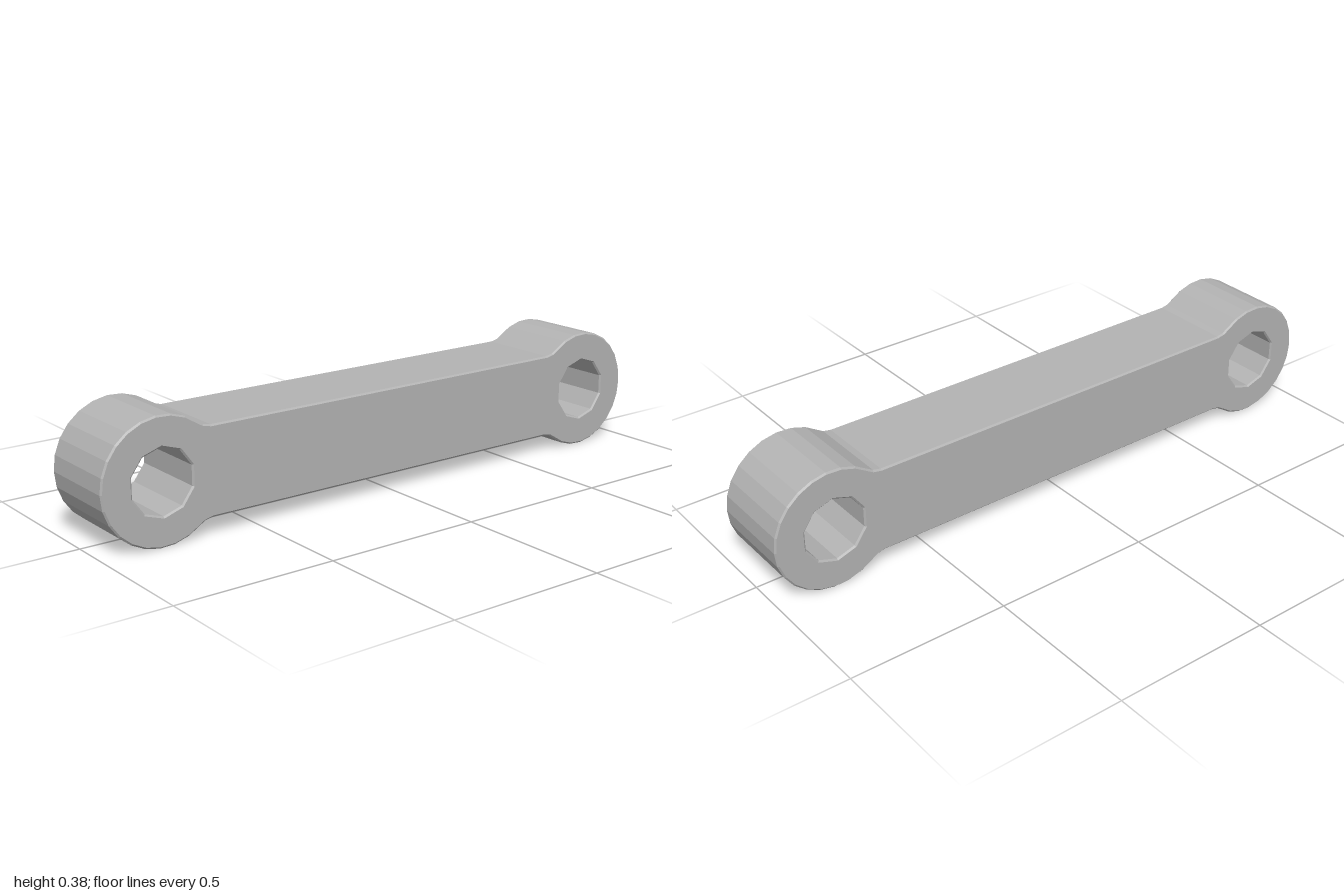
import * as THREE from 'three';

const EYE_X = 0.808;      // distance of each eye from the middle
const EYE_Y = 0.193;
const EYE_R = 0.192;
const HOLE_R = 0.1;
const BAR_HALF = 0.136;   // half height of the bar
const DEPTH = 0.276;
const BEVEL = 0.005;

// Points along one half of the outline, around the eye on side s (+1 or -1)
function eyeOutline(s) {
  const pts = [];
  const end = Math.PI - 0.9;
  const steps = 18;
  pts.push(new THREE.Vector2(s * 0.648, -s * BAR_HALF));
  pts.push(new THREE.Vector2(s * 0.673, -s * (BAR_HALF + 0.005)));
  for (let i = 0; i <= steps; i++) {
    const a = -end + (2 * end * i) / steps;
    pts.push(new THREE.Vector2(s * (EYE_X + EYE_R * Math.cos(a)), s * EYE_R * Math.sin(a)));
  }
  pts.push(new THREE.Vector2(s * 0.673, s * (BAR_HALF + 0.005)));
  pts.push(new THREE.Vector2(s * 0.648, s * BAR_HALF));
  return pts;
}

// Ten-sided bolt hole
function boltHole(x) {
  const pts = [];
  for (let i = 0; i < 10; i++) {
    const a = -((i + 0.5) / 10) * Math.PI * 2;
    pts.push(new THREE.Vector2(x + HOLE_R * Math.cos(a), HOLE_R * Math.sin(a)));
  }
  return new THREE.Path(pts);
}

export function createModel() {
  const group = new THREE.Group();
  group.name = 'linkArm';

  const metal = new THREE.MeshStandardMaterial({ color: 0xb3b3b3, flatShading: true });
  metal.name = 'grey metal';

  // Bar with an eye at each end, cut in one piece
  const shape = new THREE.Shape([...eyeOutline(1), ...eyeOutline(-1)]);
  shape.holes.push(boltHole(EYE_X), boltHole(-EYE_X));

  const geometry = new THREE.ExtrudeGeometry(shape, {
    depth: DEPTH - 2 * BEVEL,
    bevelEnabled: true,
    bevelThickness: BEVEL,
    bevelSize: BEVEL,
    bevelOffset: -BEVEL,
    bevelSegments: 1,
  });
  geometry.translate(0, EYE_Y, -DEPTH / 2 + BEVEL);

  const arm = new THREE.Mesh(geometry, metal);
  arm.name = 'barWithEyes';
  group.add(arm);
  return group;
}
